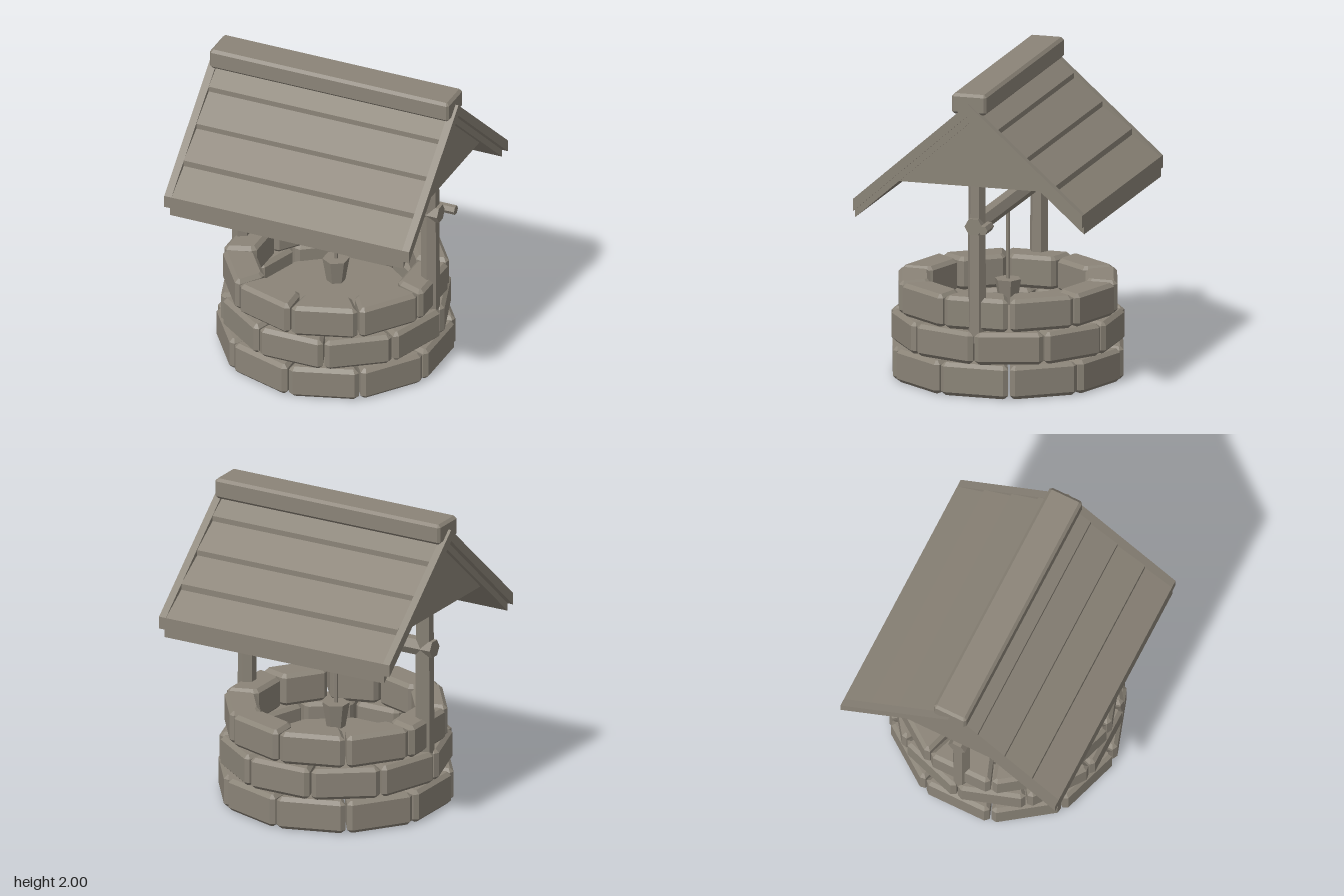
import * as THREE from 'three';

const stone = new THREE.MeshStandardMaterial({ color: 0x8b8478 });
stone.name = 'weathered stone';

export function createModel() {
  const model = new THREE.Group();
  model.name = 'well';

  // Adds a faceted mesh
  function add(name, geometry, parent = model) {
    const flat = geometry.index ? geometry.toNonIndexed() : geometry;
    flat.computeVertexNormals();
    const mesh = new THREE.Mesh(flat, stone);
    mesh.name = name;
    parent.add(mesh);
    return mesh;
  }

  const outline = (points) => new THREE.Shape(points.map(([x, y]) => new THREE.Vector2(x, y)));

  // Trapezoid with cut corners, bevelled above and below, resting on y = 0
  function block(halfA, a, halfB, b, height, cut, bevel) {
    const geometry = new THREE.ExtrudeGeometry(outline([
      [-halfA, a + cut], [-halfA + cut, a], [halfA - cut, a], [halfA, a + cut],
      [halfB, b - cut], [halfB - cut, b], [-halfB + cut, b], [-halfB, b - cut],
    ]), {
      depth: height - 2 * bevel, bevelEnabled: true, bevelSegments: 1,
      bevelThickness: bevel, bevelSize: bevel, bevelOffset: -bevel,
    });
    return geometry.translate(0, 0, bevel).rotateX(-Math.PI / 2);
  }

  // Slab with its outline in the z-y plane, spanning x0 to x1
  function slab(points, x0, x1) {
    return new THREE.ExtrudeGeometry(outline(points), { depth: x1 - x0, bevelEnabled: false })
      .rotateY(Math.PI / 2).translate(x0, 0, 0);
  }

  const mirrorOutline = (points) =>
    [...points, ...points.slice().reverse().filter(([z]) => z !== 0).map(([z, y]) => [-z, y])];

  // Three staggered courses of ten stones
  const courses = [
    { y: 0, height: 0.215, outer: 0.73, turn: 0.5 },
    { y: 0.215, height: 0.207, outer: 0.712, turn: 0 },
    { y: 0.427, height: 0.213, outer: 0.692, turn: 0.5 },
  ];
  const wall = new THREE.Group();
  wall.name = 'stoneWall';
  model.add(wall);
  for (const { y, height, outer, turn } of courses) {
    const half = outer * Math.tan(Math.PI / 10) - 0.014;
    for (let i = 0; i < 10; i++) {
      const mesh = add('wallStone', block(0.157, 0.49, half, outer, height, 0.026, 0.024), wall);
      mesh.position.y = y;
      mesh.rotation.y = (i + turn) * Math.PI / 5;
    }
  }

  // Floor inside the shaft
  add('wellFloor', new THREE.CylinderGeometry(0.54, 0.54, 0.03, 10).translate(0, 0.3, 0));

  // Posts
  for (const side of [-1, 1]) {
    add('post', new THREE.CylinderGeometry(0.055, 0.062, 1.15, 6).translate(side * 0.655, 0.925, 0));
  }

  // Winding axle, crank, rope and bucket
  add('axle', new THREE.CylinderGeometry(0.06, 0.06, 1.455, 6).rotateZ(Math.PI / 2).translate(0, 1.112, 0));
  add('crankHandle', new THREE.CylinderGeometry(0.031, 0.031, 0.14, 6).rotateZ(Math.PI / 2)
    .translate(0.725, 1.11, -0.083));
  add('rope', new THREE.CylinderGeometry(0.012, 0.012, 0.62, 6).translate(0, 0.8, 0));
  add('bucket', new THREE.CylinderGeometry(0.087, 0.06, 0.16, 6).translate(0, 0.53, 0));

  // Roof underlay, overlapping planks and edge boards
  add('roofUnderlay', slab(mirrorOutline([[0, 1.87], [0.76, 1.195], [0.76, 1.14], [0, 1.81]]
    .slice(0, 3)).concat([]).length ? [
      [0, 1.87], [-0.76, 1.195], [-0.76, 1.14], [0, 1.81], [0.76, 1.14], [0.76, 1.195],
    ] : [], -0.81, 0.81));
  const steps = [
    [0, 1.905], [0.185, 1.775], [0.185, 1.74], [0.375, 1.605],
    [0.375, 1.57], [0.57, 1.44], [0.57, 1.4], [0.76, 1.27], [0.76, 1.19],
  ];
  for (const side of [-1, 1]) {
    add('roofPlanks', slab([...steps, [0, 1.865]].map(([z, y]) => [side * z, y]), -0.8, 0.8));
    add('edgeBoard', slab([
      [0, 1.94], [-0.76, 1.27], [-0.76, 1.19], [0, 1.865], [0.76, 1.19], [0.76, 1.27],
    ], side > 0 ? 0.8 : -0.85, side > 0 ? 0.85 : -0.8));
    add('gable', slab([[-0.48, 1.39], [0.48, 1.39], [0, 1.82]],
      side > 0 ? 0.6 : -0.78, side > 0 ? 0.78 : -0.6));
  }

  // Ridge cap
  add('ridgeCap', block(0.83, -0.115, 0.83, 0.115, 0.135, 0.015, 0.018).translate(0, 1.865, 0));

  return model;
}
